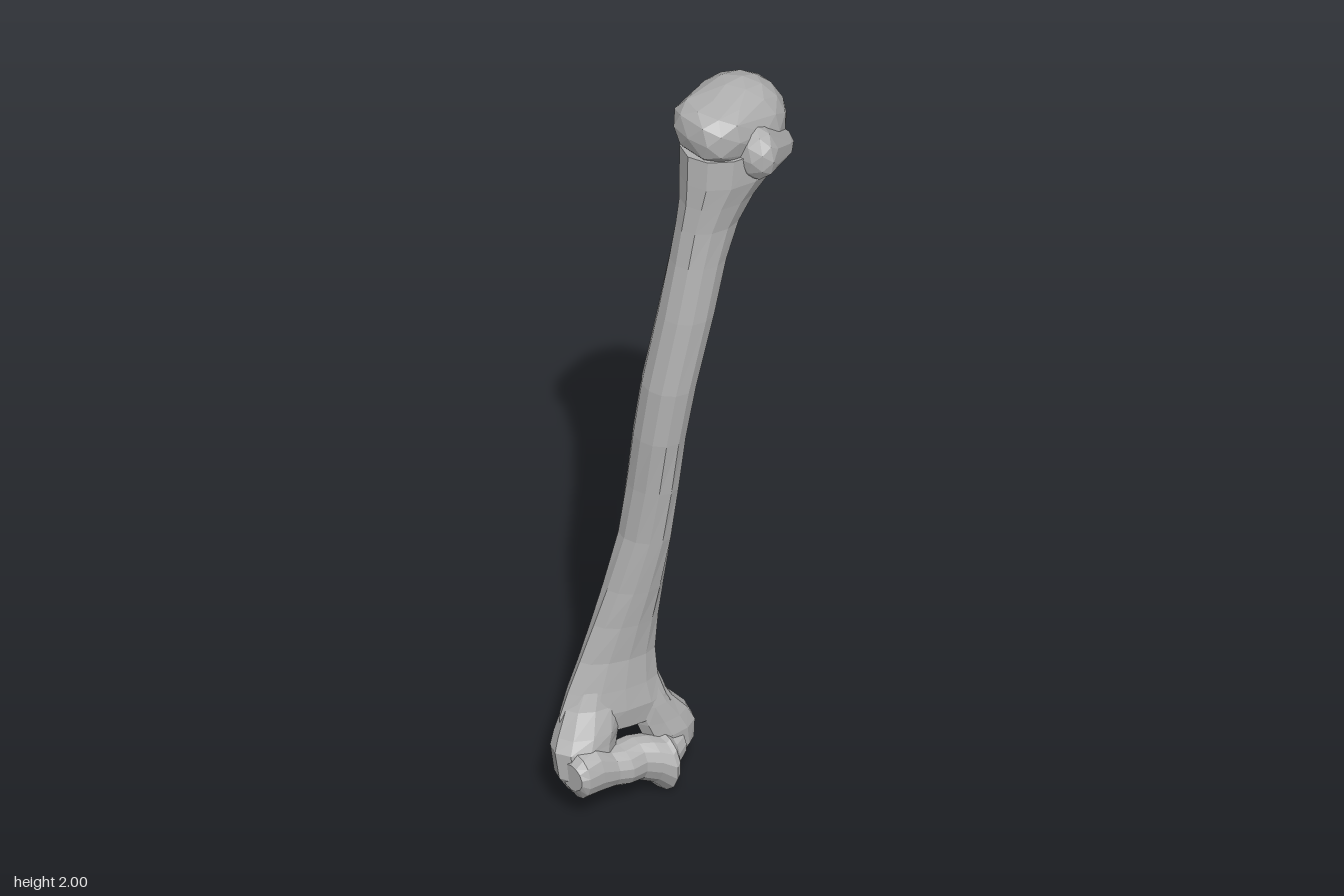
import * as THREE from 'three';
import { ConvexGeometry } from 'three/addons/geometries/ConvexGeometry.js';

const bone = new THREE.MeshStandardMaterial({ color: 0xb0b0b0 });
bone.name = 'bone grey';

// Faceted normals: every triangle keeps its own corners
function faceted(geometry) {
  const g = geometry.index ? geometry.toNonIndexed() : geometry;
  g.computeVertexNormals();
  return g;
}

// Skin a list of rings (each a list of Vector3) and close both ends
function loft(rings) {
  const n = rings[0].length, pos = [], index = [];
  const middle = ring => ring.reduce((s, p) => s.add(p), new THREE.Vector3()).divideScalar(n);
  rings.forEach(r => r.forEach(p => pos.push(p.x, p.y, p.z)));
  const first = rings.length * n, last = first + 1, top = (rings.length - 1) * n;
  for (const r of [rings[0], rings[rings.length - 1]]) pos.push(...middle(r).toArray());
  for (let j = 0; j < n; j++) {
    const k = (j + 1) % n;
    for (let i = 0; i < rings.length - 1; i++) {
      const a = i * n + j, b = i * n + k;
      index.push(a, a + n, b, b, a + n, b + n);
    }
    index.push(first, j, k, last, top + k, top + j);
  }
  const g = new THREE.BufferGeometry();
  g.setAttribute('position', new THREE.Float32BufferAttribute(pos, 3));
  g.setIndex(index);
  return faceted(g);
}

// Level sections: [y, xMin, xMax, zBack, zFront, slant]; slant swings the section about y
function column(sections, n = 12) {
  return loft(sections.map(([y, x0, x1, z0, z1, slant = 0]) => {
    const cx = (x0 + x1) / 2, cz = (z0 + z1) / 2, hx = (x1 - x0) / 2, h = (z1 - z0) / 2;
    const hz = Math.sqrt(Math.max(h * h - (slant * hx) ** 2, 0.0001));
    return Array.from({ length: n }, (_, j) => {
      const a = j / n * Math.PI * 2;
      const dx = Math.cos(a) * hx;
      return new THREE.Vector3(cx + dx, y, cz + Math.sin(a) * hz + slant * dx);
    });
  }));
}

// Upright sections strung along x: [x, y, z, radiusY, radiusZ]
function spool(sections, n = 14) {
  return loft(sections.map(([x, y, z, ry, rz]) => Array.from({ length: n }, (_, j) => {
    const a = j / n * Math.PI * 2;
    return new THREE.Vector3(x, y + Math.cos(a) * ry, z - Math.sin(a) * rz);
  })));
}

// Points of a faceted lump; power below 1 makes it boxier
function lump(center, radii, detail, power = 1) {
  const p = new THREE.IcosahedronGeometry(1, detail).attributes.position;
  const shape = v => Math.sign(v) * Math.abs(v) ** power;
  return Array.from({ length: p.count }, (_, i) => new THREE.Vector3(
    center[0] + shape(p.getX(i)) * radii[0],
    center[1] + shape(p.getY(i)) * radii[1],
    center[2] + shape(p.getZ(i)) * radii[2]));
}

export function createModel() {
  const model = new THREE.Group();
  model.name = 'upperArmBone';
  const add = (name, geometry) => {
    const mesh = new THREE.Mesh(geometry, bone);
    mesh.name = name;
    model.add(mesh);
  };

  // Long curved shaft, flaring at the neck and flattening toward the elbow
  add('shaft', column([
    [0.205, -0.29, 0.03, -0.14, -0.025, 0.25],
    [0.26, -0.285, -0.003, -0.152, -0.025, 0.27],
    [0.32, -0.26, -0.023, -0.152, -0.035, 0.27],
    [0.40, -0.225, -0.03, -0.146, -0.04, 0.28],
    [0.50, -0.19, -0.028, -0.14, -0.03, 0.28],
    [0.60, -0.16, -0.02, -0.135, -0.015, 0.25],
    [0.75, -0.125, -0.008, -0.123, 0.008, 0.2],
    [0.90, -0.112, 0.005, -0.113, 0.025, 0.1],
    [1.05, -0.106, 0.02, -0.102, 0.04],
    [1.20, -0.09, 0.042, -0.09, 0.055],
    [1.40, -0.05, 0.092, -0.076, 0.068],
    [1.55, -0.018, 0.132, -0.07, 0.07],
    [1.65, -0.002, 0.175, -0.066, 0.075],
    [1.72, 0.008, 0.22, -0.072, 0.09],
    [1.78, 0.012, 0.285, -0.09, 0.108],
    [1.86, 0.018, 0.3, -0.1, 0.11],
  ]));

  // Shoulder end: ball and outer knob under one skin, with a ridge in front
  add('head', new ConvexGeometry([
    ...lump([0.19, 1.88, -0.018], [0.136, 0.12, 0.121], 2),
    ...lump([0.1, 1.915, 0.005], [0.083, 0.074, 0.1], 1, 0.75),
  ]));
  add('lesserTubercle', new ConvexGeometry([
    ...lump([0.163, 1.855, 0.09], [0.052, 0.075, 0.068], 1),
    ...lump([0.235, 1.825, 0.055], [0.065, 0.045, 0.065], 1),
  ]));

  // Two columns that leave a small opening above the elbow joint
  add('outerColumn', column([
    [0.08, -0.3, -0.2, -0.125, -0.03],
    [0.12, -0.325, -0.165, -0.145, -0.02],
    [0.19, -0.328, -0.14, -0.16, -0.03],
    [0.22, -0.308, -0.135, -0.16, -0.035, 0.1],
    [0.28, -0.272, -0.13, -0.153, -0.055, 0.2],
    [0.36, -0.225, -0.14, -0.135, -0.075, 0.2],
  ], 10));
  add('innerColumn', column([
    [0.07, -0.015, 0.045, -0.075, -0.015],
    [0.10, -0.05, 0.072, -0.095, 0.0],
    [0.15, -0.08, 0.079, -0.1, 0.0],
    [0.19, -0.095, 0.06, -0.1, -0.01],
    [0.24, -0.105, 0.015, -0.11, -0.02],
    [0.30, -0.11, -0.018, -0.115, -0.035],
    [0.38, -0.10, -0.035, -0.105, -0.05],
  ], 10));

  // Elbow joint: rounded outer knob, waist, then the deep inner flange
  add('elbowJoint', spool([
    [-0.315, 0.135, -0.05, 0.035, 0.04],
    [-0.295, 0.13, -0.05, 0.062, 0.05],
    [-0.25, 0.13, -0.06, 0.07, 0.062],
    [-0.2, 0.115, -0.055, 0.055, 0.058],
    [-0.165, 0.11, -0.045, 0.055, 0.06],
    [-0.12, 0.108, -0.042, 0.06, 0.055],
    [-0.085, 0.098, -0.03, 0.065, 0.062],
    [-0.055, 0.078, -0.023, 0.077, 0.075],
    [-0.042, 0.085, -0.023, 0.075, 0.07],
    [-0.025, 0.095, -0.03, 0.055, 0.055],
    [0.01, 0.105, -0.035, 0.045, 0.045],
  ]));

  return model;
}
